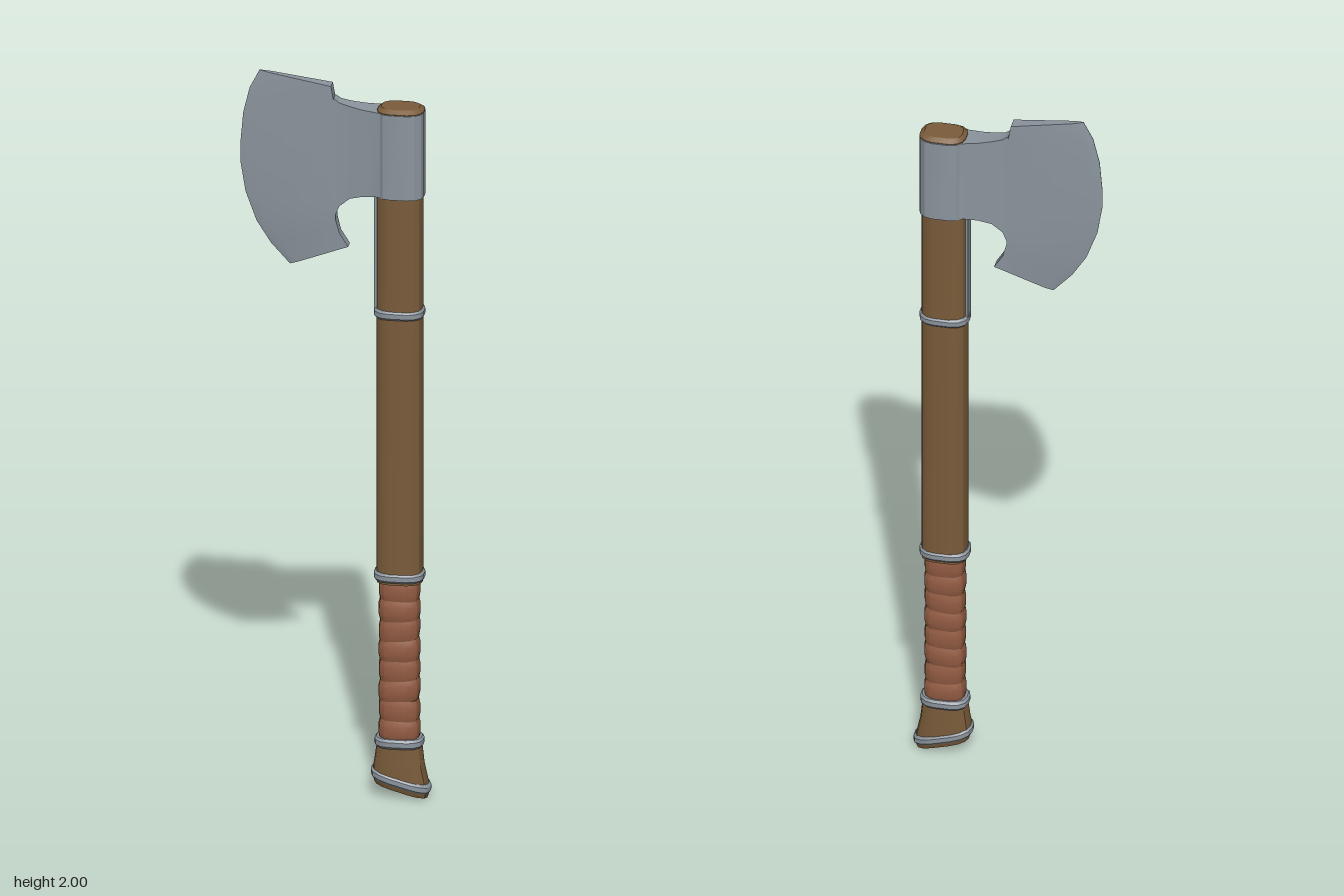
import * as THREE from 'three';
import { toCreasedNormals } from 'three/addons/utils/BufferGeometryUtils.js';

const material = (color) => new THREE.MeshStandardMaterial({ color });
const wood = material(0x7a5c3a);
const steel = material(0x8c959e);
const leather = material(0x935c43);

function makeMesh(name, positions, index, mat) {
  const geo = new THREE.BufferGeometry();
  geo.setAttribute('position', new THREE.Float32BufferAttribute(positions, 3));
  geo.setIndex(index);
  const mesh = new THREE.Mesh(toCreasedNormals(geo, 0.5), mat);
  mesh.name = name;
  return mesh;
}

// Rounded-rectangle outline of unit half size, 16 points
const outline = [];
for (let q = 0; q < 4; q++) {
  for (let k = 0; k < 4; k++) {
    const a = ((q + k / 3) * Math.PI) / 2;
    const sx = q === 0 || q === 3 ? 1 : -1;
    const sz = q < 2 ? 1 : -1;
    outline.push([0.35 * sx + 0.65 * Math.cos(a), 0.25 * sz + 0.75 * Math.sin(a)]);
  }
}

// Closed loft through sections [y, centreX, halfX, halfZ, tilt], bottom to top
function loft(name, sections, mat) {
  const n = outline.length, pos = [], idx = [];
  for (const [y, cx, rx, rz, tilt = 0] of sections) {
    for (const [u, v] of outline) pos.push(cx + u * rx, y + tilt * u * rx, v * rz);
  }
  const last = (sections.length - 1) * n;
  const bottom = pos.length / 3, top = bottom + 1;
  for (const s of [sections[0], sections[sections.length - 1]]) pos.push(s[1], s[0], 0);
  for (let i = 0; i < n; i++) {
    const j = (i + 1) % n;
    for (let r = 0; r < last; r += n) {
      idx.push(r + i, r + n + i, r + j, r + j, r + n + i, r + n + j);
    }
    idx.push(bottom, i, j, top, last + j, last + i);
  }
  return makeMesh(name, pos, idx, mat);
}

// Solid plate from rows (top to bottom) of [x, y, half thickness], left to right
function plate(name, rows, mat) {
  const R = rows.length, C = rows[0].length, N = R * C;
  const pos = [], idx = [], rim = [];
  for (const side of [1, -1]) {
    for (const row of rows) for (const [x, y, t] of row) pos.push(x, y, side * t);
  }
  for (let r = 0; r < R - 1; r++) {
    for (let c = 0; c < C - 1; c++) {
      const a = r * C + c, b = a + 1, d = a + C, e = d + 1;
      idx.push(a, d, b, b, d, e);
      idx.push(N + a, N + b, N + d, N + b, N + e, N + d);
    }
  }
  for (let r = 0; r < R - 1; r++) rim.push(r * C);
  for (let c = 0; c < C - 1; c++) rim.push((R - 1) * C + c);
  for (let r = R - 1; r > 0; r--) rim.push(r * C + C - 1);
  for (let c = C - 1; c > 0; c--) rim.push(c);
  rim.forEach((p, i) => {
    const q = rim[(i + 1) % rim.length];
    idx.push(p, N + p, q, q, N + p, N + q);
  });
  return makeMesh(name, pos, idx, mat);
}

// Metal band with bevelled rims
function band(name, y, cx, rx, rz, h, tilt = 0) {
  return loft(name, [
    [y - h / 2, cx, rx - 0.005, rz - 0.005, tilt],
    [y - h / 4, cx, rx, rz, tilt],
    [y + h / 4, cx, rx, rz, tilt],
    [y + h / 2, cx, rx - 0.005, rz - 0.005, tilt],
  ], steel);
}

function createHead() {
  const head = new THREE.Group();
  head.name = 'axeHead';

  // Blade: thin cutting edge, bevel line, then the thicker back with the beard
  const edge = [[-0.2, 2], [-0.226, 1.95], [-0.243, 1.88], [-0.25, 1.8], [-0.25, 1.74],
    [-0.237, 1.66], [-0.208, 1.58], [-0.17, 1.52], [-0.12, 1.465]];
  const back = [[-0.01, 1.97], [-0.003, 1.93], [0, 1.86], [0, 1.8], [0, 1.72],
    [0, 1.64], [0.002, 1.6], [0.012, 1.562], [0.035, 1.525]];
  const blade = edge.map((e, i) => [[0, 0.0008], [0.14, 0.007], [1, i > 6 ? 0.015 : 0.017]].map(
    ([f, t]) => [e[0] + (back[i][0] - e[0]) * f, e[1] + (back[i][1] - e[1]) * f, t]));
  head.add(plate('blade', blade, steel));

  // Cheek flaring from the blade into the socket: [x, top, bottom, half thickness]
  const cheek = [[-0.003, 1.937, 1.6, 0.017], [0.012, 1.926, 1.638, 0.018],
    [0.04, 1.919, 1.662, 0.022], [0.075, 1.913, 1.672, 0.028],
    [0.112, 1.91, 1.675, 0.034], [0.15, 1.91, 1.675, 0.05]];
  head.add(plate('cheek', [
    cheek.map(([x, top, , t]) => [x, top, t]),
    cheek.map(([x, , low, t]) => [x, low, t]),
  ], steel));

  head.add(loft('socket', [
    [1.675, 0.172, 0.062, 0.051], [1.91, 0.172, 0.062, 0.051],
  ], steel));

  // Strip running down the blade side of the shaft
  const strip = new THREE.Mesh(new THREE.BoxGeometry(0.02, 0.33, 0.036), steel);
  strip.name = 'langet';
  strip.position.set(0.114, 1.515, 0);
  head.add(strip);
  return head;
}

function createHandle() {
  const handle = new THREE.Group();
  handle.name = 'handle';
  handle.add(loft('shaft', [
    [0.6, 0.169, 0.06, 0.046], [1.9, 0.169, 0.06, 0.046],
  ], wood));
  handle.add(loft('shaftTop', [
    [1.9, 0.172, 0.061, 0.048], [1.912, 0.172, 0.061, 0.048], [1.921, 0.171, 0.05, 0.035],
  ], wood));

  // Leather wraps, each bulging slightly and some set askew
  const wraps = 8, step = 0.445 / wraps;
  for (let i = 0; i < wraps; i++) {
    const y = 0.162 + i * step;
    const tilt = [0, -0.06, 0.12, 0, 0.04, 0.14, 0, -0.04][i];
    const grow = i % 2 ? 0 : 0.001;
    handle.add(loft('gripWrap', [
      [y - 0.004, 0.168, 0.05, 0.035, tilt],
      [y + step * 0.25, 0.168, 0.053 + grow, 0.039 + grow, tilt],
      [y + step * 0.75, 0.168, 0.053 + grow, 0.039 + grow, tilt],
      [y + step + 0.002, 0.168, 0.05, 0.035, tilt],
    ], leather));
  }

  // Flared butt with a slanted end
  handle.add(loft('butt', [
    [0.02, 0.173, 0.069, 0.036, -0.28],
    [0.036, 0.173, 0.074, 0.042, -0.28],
    [0.06, 0.171, 0.072, 0.043, -0.25],
    [0.1, 0.168, 0.064, 0.042, -0.1],
    [0.15, 0.168, 0.058, 0.041],
  ], wood));

  handle.add(band('upperBand', 1.35, 0.168, 0.066, 0.05, 0.026));
  handle.add(band('middleBand', 0.618, 0.168, 0.066, 0.05, 0.026));
  handle.add(band('lowerBand', 0.155, 0.168, 0.064, 0.047, 0.026));
  handle.add(band('buttBand', 0.047, 0.172, 0.078, 0.047, 0.026, -0.28));
  return handle;
}

export function createModel() {
  const model = new THREE.Group();
  model.name = 'axe';
  model.add(createHandle(), createHead());
  return model;
}
